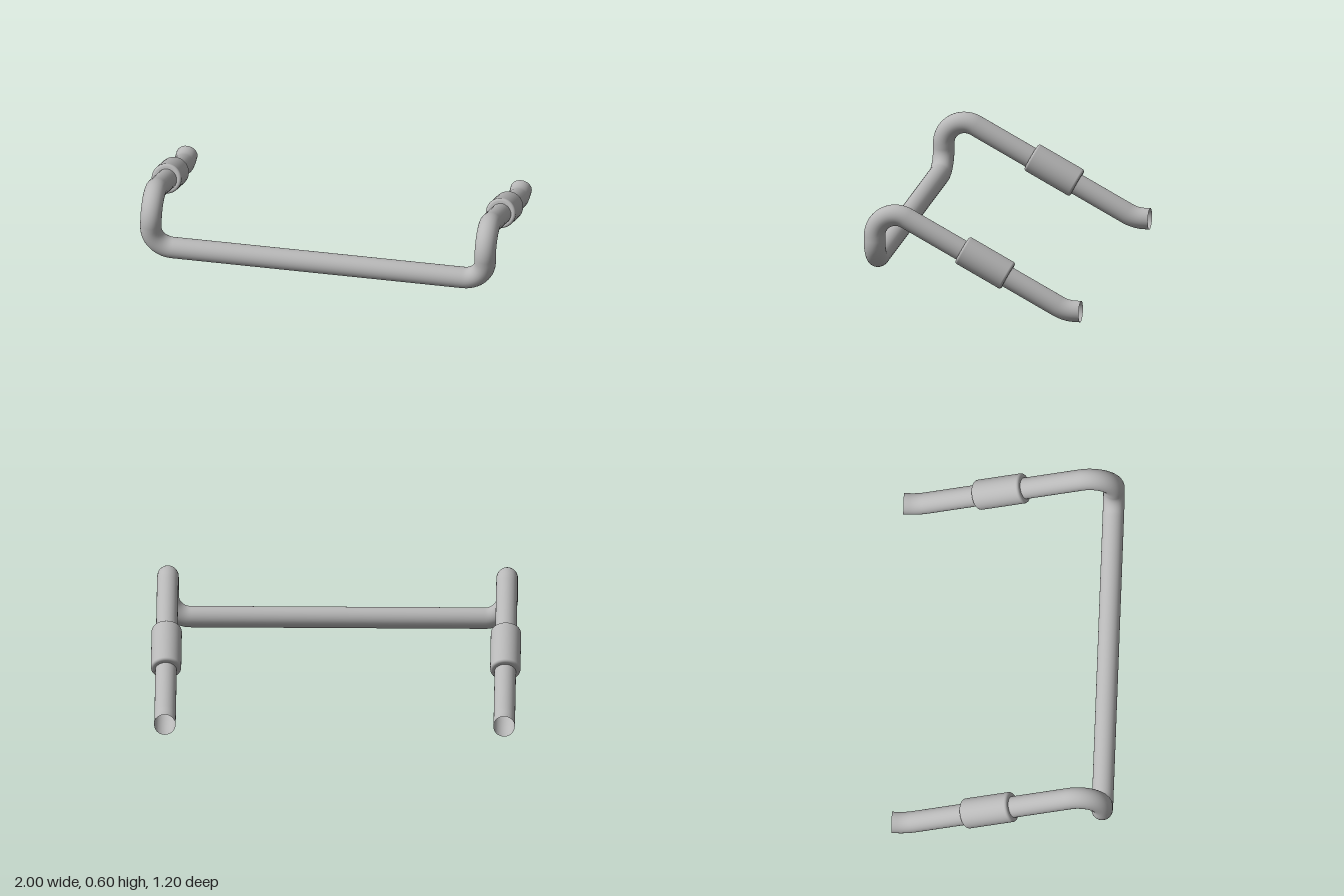
import * as THREE from 'three';

const TUBE_R = 0.058, SIDE_X = 0.917;

// Circular bend between two directions
class Bend extends THREE.Curve {
  constructor(start, d1, n, radius, angle) {
    super();
    Object.assign(this, { start, d1, n, radius, angle });
  }
  getPoint(t, target = new THREE.Vector3()) {
    const a = t * this.angle;
    return target.copy(this.start)
      .addScaledVector(this.d1, this.radius * Math.sin(a))
      .addScaledVector(this.n, this.radius * (1 - Math.cos(a)));
  }
}

// Straight runs joined by bends; each corner is [x, y, z, bend radius]
function bentPath(corners) {
  const path = new THREE.CurvePath();
  const pts = corners.map(c => new THREE.Vector3(c[0], c[1], c[2]));
  let from = pts[0];
  for (let i = 1; i < pts.length - 1; i++) {
    const d1 = pts[i].clone().sub(pts[i - 1]).normalize();
    const d2 = pts[i + 1].clone().sub(pts[i]).normalize();
    const angle = d1.angleTo(d2), r = corners[i][3];
    const trim = r * Math.tan(angle / 2);
    const start = pts[i].clone().addScaledVector(d1, -trim);
    const n = d2.clone().addScaledVector(d1, -d1.dot(d2)).normalize();
    path.add(new THREE.LineCurve3(from, start));
    path.add(new Bend(start, d1, n, r, angle));
    from = pts[i].clone().addScaledVector(d2, trim);
  }
  path.add(new THREE.LineCurve3(from, pts[pts.length - 1]));
  return path;
}

// Sleeve with rounded rims
function sleeveGeometry(radius, length, round) {
  const p = [new THREE.Vector2(TUBE_R - 0.004, -length / 2), new THREE.Vector2(radius - round - 0.001, -length / 2)];
  for (const end of [-1, 1]) {
    for (let i = 0; i <= 5; i++) {
      const a = (end < 0 ? i - 5 : i) / 5 * Math.PI / 2;
      p.push(new THREE.Vector2(radius - round + round * Math.cos(a), end * (length / 2 - round) + round * Math.sin(a)));
    }
  }
  p.push(new THREE.Vector2(radius - round - 0.001, length / 2), new THREE.Vector2(TUBE_R - 0.004, length / 2));
  return new THREE.LatheGeometry(p, 40);
}

export function createModel() {
  const group = new THREE.Group();
  const metal = new THREE.MeshStandardMaterial({ color: 0xb8b8b8, side: THREE.DoubleSide });
  metal.name = 'grey metal';

  // One continuous open tube: rear end, slope, hook, cross bar, and back
  const side = [
    [SIDE_X, 0.06, -0.598, 0],
    [SIDE_X, 0.06, -0.517, 0.2],
    [SIDE_X, 0.622, 0.54, 0.12],
    [SIDE_X, 0.275, 0.54, 0.12],
  ];
  const mirrored = side.map(([x, y, z, r]) => [-x, y, z, r]).reverse();
  const tube = new THREE.Mesh(
    new THREE.TubeGeometry(bentPath([...side, ...mirrored]), 360, TUBE_R, 28, false), metal);
  tube.name = 'bentTube';
  group.add(tube);

  // Grip sleeves on the sloping arms
  const geometry = sleeveGeometry(0.082, 0.288, 0.014);
  for (const s of [1, -1]) {
    const sleeve = new THREE.Mesh(geometry, metal);
    sleeve.name = s > 0 ? 'leftSleeve' : 'rightSleeve';
    sleeve.position.set(s * SIDE_X, 0.303, -0.07);
    sleeve.rotation.x = THREE.MathUtils.degToRad(62);
    group.add(sleeve);
  }
  return group;
}
